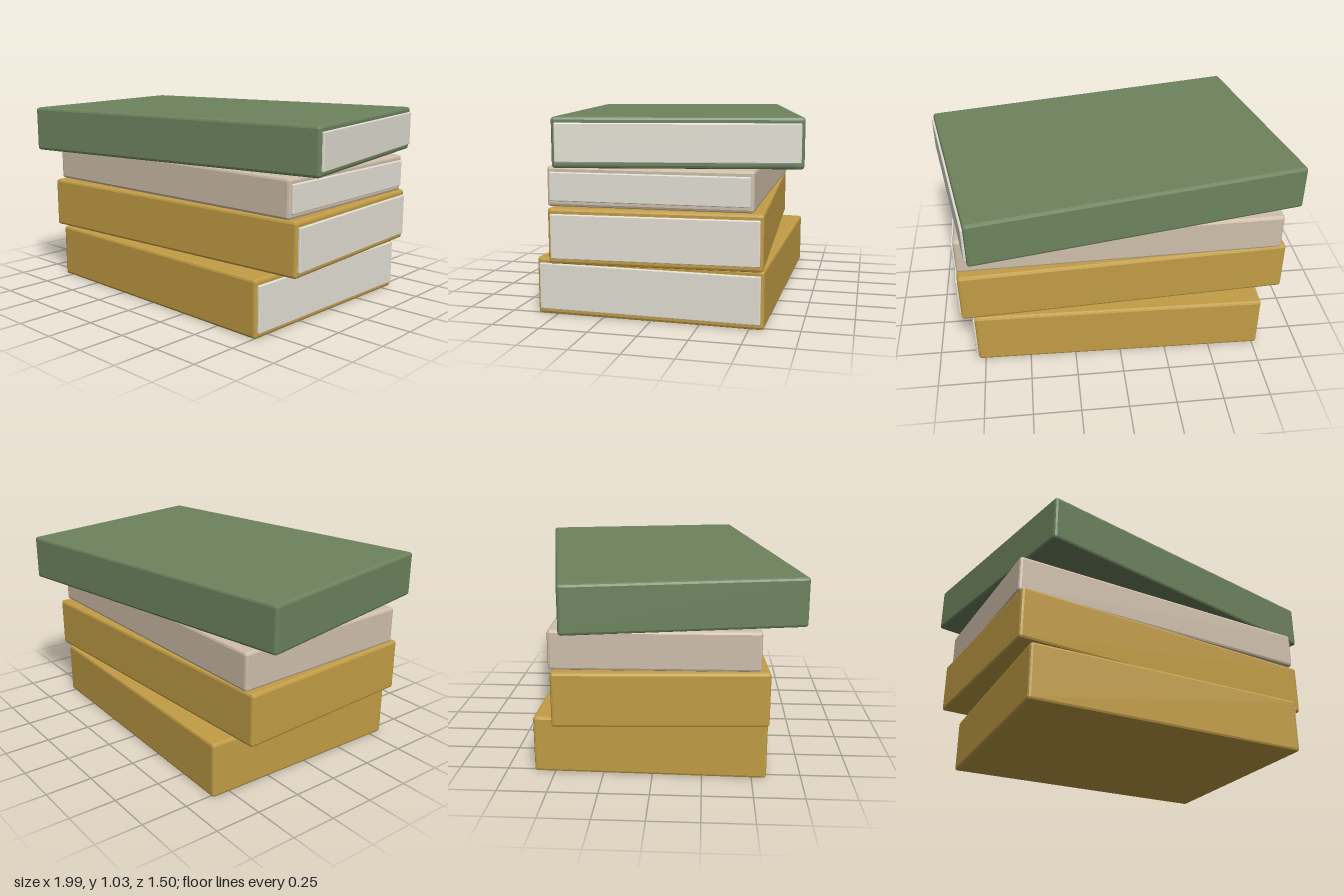
import * as THREE from 'three';
import { RoundedBoxGeometry } from 'three/addons/geometries/RoundedBoxGeometry.js';

const paint = (name, color) => {
  const m = new THREE.MeshStandardMaterial({ color });
  m.name = name;
  return m;
};

// Box with a single flat chamfer on every edge
function chamferBox(w, h, d, bevel) {
  const g = new RoundedBoxGeometry(w, h, d, 1, bevel);
  g.computeVertexNormals();
  return g;
}

// Cover block with a paper block standing slightly proud on its +x side
function book(name, { w, d, y0, y1, angle, cover, paper }) {
  const g = new THREE.Group();
  g.name = name;
  const h = y1 - y0;
  const proud = 0.012, inset = 0.028, rim = 0.016;

  const shell = new THREE.Mesh(chamferBox(w, h, d, 0.014), cover);
  shell.name = name + 'Cover';

  const pages = new THREE.Mesh(
    chamferBox(w - 0.06, h - 2 * inset, d - 2 * rim, 0.005), paper);
  pages.name = name + 'Pages';
  pages.position.x = 0.03 + proud;

  g.add(shell, pages);
  g.position.set(-proud / 2, (y0 + y1) / 2, 0);
  g.rotation.y = THREE.MathUtils.degToRad(angle);
  return g;
}

export function createModel() {
  const gold = paint('gold cover', 0xc29d45);
  const beige = paint('beige cover', 0xd0bfab);
  const green = paint('green cover', 0x6d835e);
  const paper = paint('paper', 0xe4e0d5);

  const model = new THREE.Group();
  model.name = 'bookStack';
  // Stacked from the bottom up, each turned a little
  model.add(
    book('bottomBook', { w: 1.565, d: 1.18, y0: 0, y1: 0.298, angle: -1.15, cover: gold, paper }),
    book('secondBook', { w: 1.77, d: 1.06, y0: 0.302, y1: 0.581, angle: 3.1, cover: gold, paper }),
    book('thirdBook', { w: 1.735, d: 1.025, y0: 0.584, y1: 0.784, angle: 1.15, cover: beige, paper }),
    book('topBook', { w: 1.795, d: 1.19, y0: 0.787, y1: 1.03, angle: 10.7, cover: green, paper })
  );
  return model;
}
